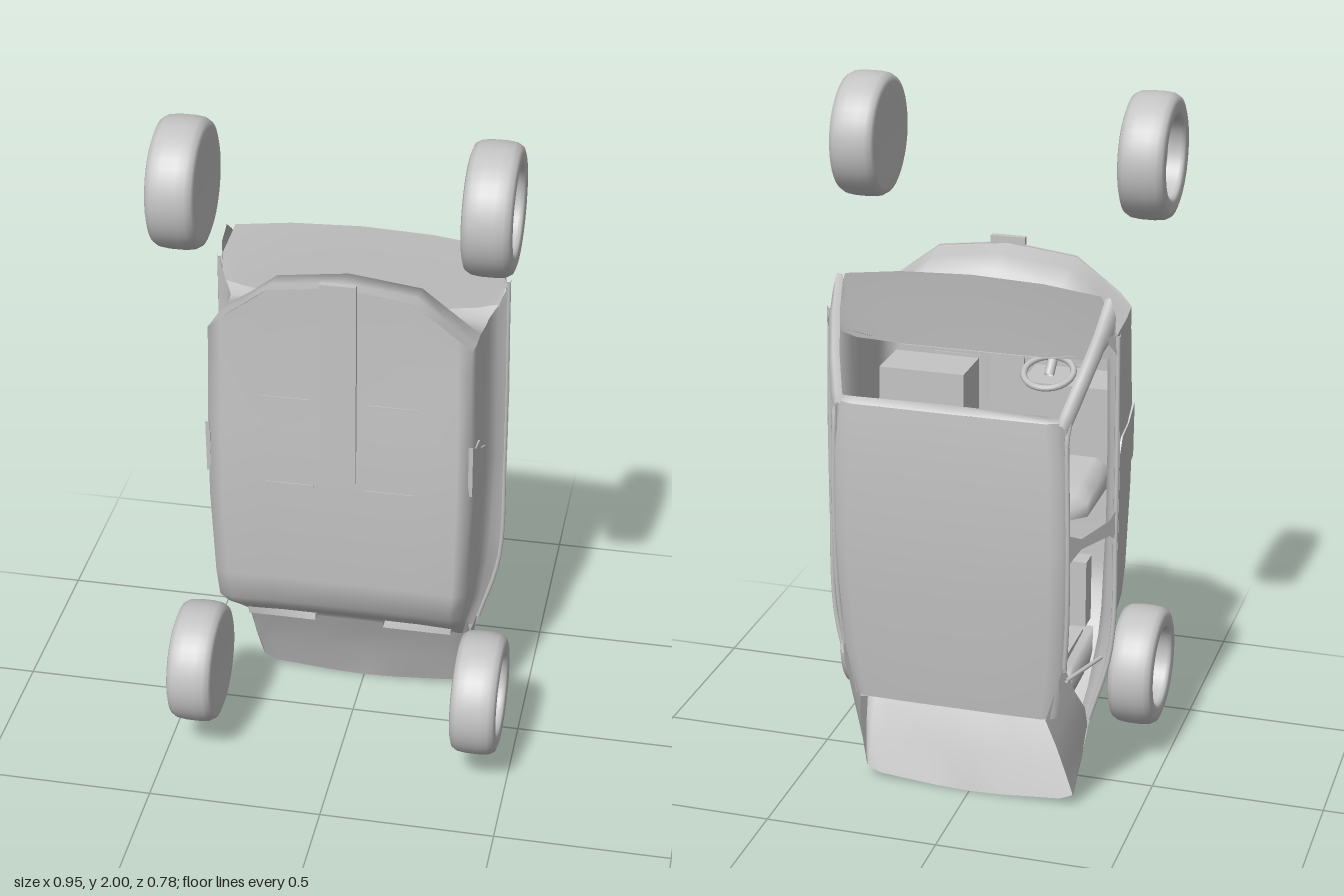
import * as THREE from 'three';

// The car stands on its tail: nose toward +y, underside toward +z, roof toward -z.
export function createModel() {
  const car = new THREE.Group();
  const grey = new THREE.MeshStandardMaterial({ color: 0xc4c4c4, side: THREE.DoubleSide });
  grey.name = 'plain grey';

  const add = (name, geo, parent = car) => {
    const m = new THREE.Mesh(geo, grey);
    m.name = name;
    parent.add(m);
    return m;
  };
  // Smooth sheet through rows of [x, y, z] points
  const loft = rows => {
    const n = rows[0].length, idx = [];
    for (let i = 0; i < rows.length - 1; i++) for (let j = 0; j < n - 1; j++) {
      const a = i * n + j, b = a + n;
      idx.push(a, b, a + 1, b, b + 1, a + 1);
    }
    const g = new THREE.BufferGeometry();
    g.setAttribute('position', new THREE.Float32BufferAttribute(rows.flat(2), 3));
    g.setIndex(idx);
    g.computeVertexNormals();
    return g;
  };
  // Half section from the left edge to the centre, mirrored to a full row
  const full = half => [...half, ...half.slice(0, -1).reverse().map(([x, y, z]) => [-x, y, z])];
  const tube = (pts, r) => new THREE.TubeGeometry(
    new THREE.CatmullRomCurve3(pts.map(p => new THREE.Vector3(...p)), false, 'centripetal'), 24, r, 8);
  const box = (name, w, h, d, x, y, z, parent) => {
    const m = add(name, new THREE.BoxGeometry(w, h, d), parent);
    m.position.set(x, y, z);
    return m;
  };

  // Lower body: [y, floor z, flank half width, belt half width, belt z]
  const section = ([y, f, lx, bx, bz]) => {
    const h = f - bz;
    return [
      [bx, y, bz], [lx + 0.03, y, bz + 0.06 * h], [lx + 0.01, y, bz + 0.16 * h], [lx + 0.006, y, bz + 0.3 * h],
      [lx + 0.006, y, bz + 0.55 * h], [lx + 0.008, y, bz + 0.8 * h], [lx + 0.006, y, bz + 0.97 * h],
      [lx - 0.03, y, f], [0.2, y, f - 0.006], [0, y, f - 0.007]];
  };
  // The floor stops above the tailgate while the flanks run on behind the wheels
  const tail = section([0.25, -0.1, 0.305, 0.345, -0.165]);
  tail.forEach((p, j) => { if (j > 6) { p[1] = 0.345; p[2] = 0.015; } });
  const nose = section([1.33, 0.21, 0.355, 0.415, -0.145]);
  [1.43, 1.36, 1.335, 1.335, 1.36, 1.375, 1.39, 1.425, 1.52, 1.545].forEach((y, j) => { nose[j][1] = y; });
  const stations = [
    [0.36, 0.03, 0.325, 0.372, -0.16], [0.44, 0.13, 0.335, 0.395, -0.157],
    [0.51, 0.2, 0.345, 0.412, -0.155], [0.6, 0.21, 0.352, 0.418, -0.152], [0.87, 0.222, 0.36, 0.42, -0.15],
    [1.1, 0.218, 0.36, 0.42, -0.148], [1.33, 0.21, 0.355, 0.415, -0.145]].map(section);
  add('lowerBody', loft([tail, ...stations, nose].map(full)));

  // Front bulkhead, welded to the nose edge of the body
  const centreY = [1.33, 1.33, 1.335, 1.51, 1.53, 1.54, 1.545];
  add('frontBulkhead', loft(centreY.map((c, i) => {
    const [x, y, z] = nose[i + 1], q = Math.max(c - 0.025, 1.33);
    return full([[x, y, z], [(x + 0.2) / 2, (y + q) / 2, z], [0.2, q, z], [0, c, z]]);
  })));
  // Shelf below the windscreen
  add('windscreenShelf', loft([
    full([[0.385, 1.35, -0.122], [0.34, 1.335, -0.118], [0.2, 1.33, -0.118], [0, 1.33, -0.118]]),
    full([[0.405, 1.42, -0.14], [0.36, 1.44, -0.132], [0.2, 1.46, -0.132], [0, 1.46, -0.132]]),
    full([[0.375, 1.48, -0.146], [0.36, 1.527, -0.145], [0.2, 1.547, -0.145], [0, 1.555, -0.145]])]));

  // Central tunnel and floor ribs
  box('floorTunnel', 0.1, 0.61, 0.018, 0, 1.255, 0.211);
  for (const s of [-1, 1]) {
    box('floorRib', 0.14, 0.006, 0.006, s * 0.14, 0.925, 0.214);
    box('floorRib', 0.14, 0.006, 0.006, s * 0.15, 1.195, 0.208);
  }

  // Roof: [y, half width, z]
  add('roof', loft([[0.35, 0.27, -0.34], [0.5, 0.29, -0.358], [0.7, 0.3, -0.374], [0.87, 0.303, -0.386],
    [1.1, 0.298, -0.387], [1.24, 0.285, -0.378]].map(([y, w, z]) => full([
    [w + 0.03, y, z + 0.036], [w + 0.017, y, z + 0.014], [w - 0.015, y, z + 0.003], [w * 0.5, y, z], [0, y, z]]))));
  add('windscreenHeader', loft([
    full([[0.315, 1.24, -0.342], [0.302, 1.24, -0.364], [0.27, 1.24, -0.376], [0, 1.24, -0.378]]),
    full([[0.305, 1.25, -0.342], [0.292, 1.255, -0.356], [0.262, 1.258, -0.365], [0, 1.262, -0.367]]),
    full([[0.295, 1.235, -0.325], [0.28, 1.235, -0.337], [0.25, 1.235, -0.345], [0, 1.235, -0.347]])]));

  // Tailgate below the open rear window
  add('tailgate', loft([
    full([[0.315, 0.07, -0.175], [0.305, 0.035, -0.18], [0.27, 0.02, -0.18], [0.1, 0.006, -0.18], [0, 0.002, -0.18]]),
    full([[0.325, 0.15, -0.14], [0.31, 0.12, -0.142], [0.27, 0.12, -0.145], [0.1, 0.12, -0.138], [0, 0.12, -0.15]]),
    full([[0.335, 0.24, -0.11], [0.31, 0.225, -0.1], [0.27, 0.225, -0.1], [0.1, 0.225, -0.1], [0, 0.225, -0.1]]),
    full([[0.335, 0.36, -0.03], [0.31, 0.37, -0.03], [0.27, 0.37, -0.03], [0.1, 0.37, -0.03], [0, 0.37, -0.03]])]));

  // Pillars, window frames, side intakes and seats, both sides
  for (const s of [-1, 1]) {
    const side = new THREE.Group();
    side.name = s > 0 ? 'leftSide' : 'rightSide';
    car.add(side);
    const m = pts => pts.map(([x, y, z]) => [s * x, y, z]);
    add('frontPillar', loft([[0.385, 1.525, -0.145, 1.42], [0.372, 1.445, -0.215, 1.395], [0.345, 1.345, -0.298, 1.3],
      [0.322, 1.27, -0.35, 1.225], [0.312, 1.235, -0.366, 1.2]].map(([x, y, z, y2]) => m([
      [x - 0.016, y - 0.006, z + 0.01], [x, y, z], [x + 0.014, (y + y2) / 2, z + 0.006], [x + 0.012, y2, z + 0.012]]))), side);
    add('frontPillarBase', loft([m([[0.375, 1.5, -0.14], [0.413, 1.36, -0.145]]),
      m([[0.385, 1.44, -0.19], [0.395, 1.41, -0.19]])]), side);
    add('windowFrame', tube(m([[0.33, 1.235, -0.342], [0.325, 1.19, -0.352], [0.327, 1.1, -0.355],
      [0.331, 0.87, -0.354], [0.328, 0.65, -0.342], [0.318, 0.5, -0.326]]), 0.007), side);
    add('beltRail', tube(m([[0.348, 0.28, -0.165], [0.405, 0.5, -0.155], [0.412, 0.87, -0.15],
      [0.408, 1.42, -0.145]]), 0.007), side);
    add('middlePillar', loft([m([[0.417, 0.83, -0.145], [0.417, 0.93, -0.145]]),
      m([[0.402, 0.855, -0.18], [0.402, 0.9, -0.18]]), m([[0.355, 0.86, -0.3], [0.355, 0.89, -0.3]]),
      m([[0.332, 0.83, -0.357], [0.332, 0.92, -0.357]])]), side);
    add('rearPillar', loft([m([[0.31, 0.035, -0.18], [0.345, 0.26, -0.165]]),
      m([[0.3, 0.14, -0.235], [0.35, 0.34, -0.215]]), m([[0.288, 0.25, -0.292], [0.337, 0.42, -0.28]]),
      m([[0.27, 0.35, -0.34], [0.32, 0.52, -0.335]])]), side);
    add('rearCorner', loft([m([[0.31, 0.035, -0.18], [0.312, 0.05, -0.175]]),
      m([[0.33, 0.16, -0.175], [0.325, 0.15, -0.138]]), m([[0.347, 0.29, -0.167], [0.33, 0.25, -0.1]])]), side);
    add('rearWindowBar', tube(m([[0.38, 0.475, -0.16], [0.325, 0.475, -0.33]]), 0.006), side);

    // Sill intake, a thin wedge on the flank (shape axes: -z, y)
    const wedge = new THREE.Shape([[-0.215, 1.1], [-0.15, 1.06], [-0.08, 1.045], [-0.05, 1.0], [0.05, 0.95],
      [0.05, 0.88], [-0.1, 0.91], [-0.21, 0.94]].map(p => new THREE.Vector2(...p)));
    const intake = add('sideIntake', new THREE.ExtrudeGeometry(wedge, { depth: 0.012, bevelEnabled: false }), side);
    intake.rotation.y = Math.PI / 2;
    intake.position.x = s > 0 ? 0.36 : -0.372;

    // Front seat: backrest thinning toward the headrest, [z, half width, thickness]
    add('frontSeatBack', loft([[0.2, 0.13, 0.09], [-0.1, 0.13, 0.07], [-0.18, 0.13, 0.055], [-0.22, 0.09, 0.04],
      [-0.28, 0.055, 0.022], [-0.29, 0.045, 0.01]].map(([z, w, t]) =>
      [[-w, 0], [-w, t * 0.7], [-w * 0.7, t], [w * 0.7, t], [w, t * 0.7], [w, 0], [-w, 0]]
        .map(([x, y]) => [s * 0.21 + x, 0.905 + y, z]))), side);
    box('frontSeatCushion', 0.25, 0.26, 0.15, s * 0.21, 1.06, 0.128, side);
    add('rearSeatBack', loft([[0.06, 0.36, 0.46], [-0.16, 0.35, 0.445], [-0.22, 0.355, 0.42], [-0.258, 0.37, 0.39]]
      .map(([z, y0, y1]) => [[0.1, y0], [0.1, y1], [0.3, y1], [0.3, y0], [0.1, y0]]
        .map(([x, y]) => [s * x, y, z]))), side);
  }
  box('rearBench', 0.56, 0.07, 0.22, 0, 0.43, -0.085);
  box('rearCushion', 0.56, 0.2, 0.06, 0, 0.56, 0.08);

  // Steering wheel, column and shaft end
  const rim = add('steeringWheel', new THREE.TorusGeometry(0.068, 0.009, 8, 28));
  rim.position.set(-0.21, 1.29, -0.12);
  rim.rotation.x = Math.PI / 2 - 0.35;
  add('steeringColumn', tube([[-0.21, 1.28, -0.115], [-0.213, 1.315, -0.09]], 0.014));
  const shaft = add('steeringShaftEnd', new THREE.CylinderGeometry(0.014, 0.014, 0.04, 6));
  shaft.position.set(-0.215, 1.335, -0.07);

  // Wheels: flat closed inside, recessed hub outside
  const profile = [[0, -0.062], [0.1, -0.062], [0.105, -0.064], [0.15, -0.065], [0.164, -0.06], [0.173, -0.045],
    [0.176, -0.02], [0.176, 0.02], [0.173, 0.045], [0.164, 0.06], [0.15, 0.065], [0.125, 0.064], [0.116, 0.06],
    [0.113, 0.05], [0.112, 0.015], [0.11, 0.014], [0, 0.014]].map(p => new THREE.Vector2(...p));
  const wheelGeo = new THREE.LatheGeometry(profile, 40);
  for (const s of [-1, 1]) for (const y of [0.283, 1.824]) {
    const w = add(y > 1 ? 'frontWheel' : 'rearWheel', wheelGeo);
    w.rotation.z = -s * Math.PI / 2;
    w.position.set(s * 0.41, y, 0.213);
  }
  return car;
}
